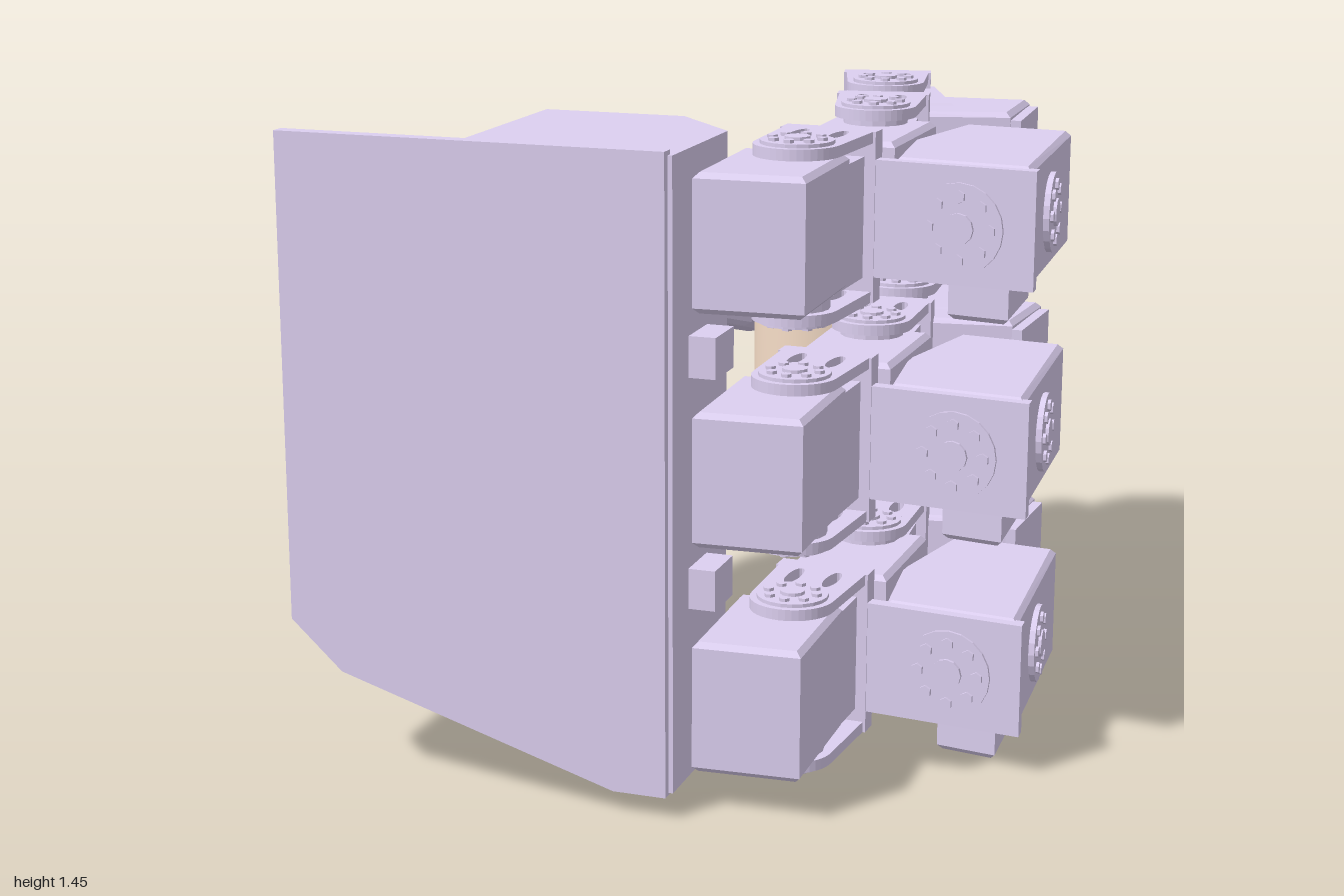
import * as THREE from 'three';
import { RoundedBoxGeometry } from 'three/addons/geometries/RoundedBoxGeometry.js';

const shellMat = new THREE.MeshStandardMaterial({ color: 0xdccff0, flatShading: true });
const bottleMat = new THREE.MeshStandardMaterial({ color: 0xf5dcc6, side: THREE.DoubleSide });

function add(parent, name, geo, x = 0, y = 0, z = 0, mat = shellMat) {
  const m = new THREE.Mesh(geo, mat);
  m.name = name;
  m.position.set(x, y, z);
  parent.add(m);
  return m;
}

function group(parent, name, x = 0, y = 0, z = 0, heading = 0) {
  const g = new THREE.Group();
  g.name = name;
  g.position.set(x, y, z);
  g.rotation.y = heading;
  parent.add(g);
  return g;
}

const box = (w, h, d) => new THREE.BoxGeometry(w, h, d);
const outline = (pts) => new THREE.Shape(pts.map(([x, y]) => new THREE.Vector2(x, y)));

function slot(shape, x, y, rx, ry, angle = 0) {
  shape.holes.push(new THREE.Path().absellipse(x, y, rx, ry, 0, Math.PI * 2, true, angle));
}

// Solid standing on a plan outline of [x, z] points, with optional oval hole
function prism(parent, name, pts, y0, y1, hole, bevel = 0.012) {
  const s = outline(pts.map(([x, z]) => [x, -z]));
  if (hole) slot(s, hole[0], -hole[1], 0.055, 0.028, hole[2]);
  const geo = new THREE.ExtrudeGeometry(s, {
    depth: y1 - y0 - 2 * bevel, curveSegments: 6, bevelEnabled: bevel > 0,
    bevelThickness: bevel, bevelSize: bevel, bevelOffset: -bevel, bevelSegments: 1,
  });
  geo.rotateX(-Math.PI / 2);
  return add(parent, name, geo, 0, y0 + bevel, 0);
}

// Servo horn: disc, hub and a ring of bolts, facing +y
function horn(parent, name, r) {
  const g = group(parent, name);
  add(g, 'hornDisc', new THREE.CylinderGeometry(r, r, 0.03, 20));
  add(g, 'hornHub', new THREE.CylinderGeometry(r * 0.35, r * 0.35, 0.045, 12));
  for (let i = 0; i < 8; i++) {
    const a = (i * Math.PI) / 4;
    add(g, 'bolt', new THREE.CylinderGeometry(r * 0.15, r * 0.15, 0.044, 6),
      Math.cos(a) * r * 0.7, 0, Math.sin(a) * r * 0.7);
  }
  return g;
}

// Slotted fork clasping a motor above and below, closed by a cross plate
function fork(parent, x, z, x1, z1, half = 0.165) {
  const len = Math.hypot(x1 - x, z1 - z);
  const g = group(parent, 'jointFork', x, 0, z, Math.atan2(z - z1, x1 - x));
  const s = new THREE.Shape();
  s.moveTo(len, 0.105);
  s.lineTo(0, 0.095);
  s.absarc(0, 0, 0.095, Math.PI / 2, Math.PI * 1.5, false);
  s.lineTo(len, -0.105);
  slot(s, len * 0.62, 0.045, len * 0.24, 0.016);
  slot(s, len * 0.62, -0.045, len * 0.24, 0.016);
  for (const side of [1, -1]) {
    const geo = new THREE.ExtrudeGeometry(s, { depth: 0.025, bevelEnabled: false, curveSegments: 10 });
    geo.rotateX(-Math.PI / 2);
    add(g, 'forkArm', geo, 0, side > 0 ? half : -half - 0.025, 0);
    const h = horn(g, 'jointHorn', 0.08);
    h.position.y = side * (half + 0.018);
  }
  add(g, 'jointAxle', new THREE.CylinderGeometry(0.075, 0.075, 2 * half, 16));
  add(g, 'forkCore', box(len, 2 * half - 0.06, 0.17), len / 2, 0, 0);
  add(g, 'forkBridge', box(0.05, 2 * half + 0.05, 0.22), len, 0, 0);
}

function fingertip(parent, x, y, z, heading, len, w) {
  const tip = add(parent, 'fingertip', new RoundedBoxGeometry(len, 0.265, w, 2, 0.1), x, y, z);
  tip.rotation.y = heading;
}

// bend swings the outer half inward; drop moves the tip vertically
function finger(parent, y, bend, drop) {
  const g = group(parent, 'finger', 0, y, 0);
  // Base motor and knuckle
  prism(g, 'baseMotor', [[-0.02, 0.95], [-0.22, 0.82], [-0.02, 0.53], [0.17, 0.68]], -0.13, 0.165);
  fork(g, 0.06, 0.66, 0.2, 0.48);
  // Wide second motor with face plate and side horn
  prism(g, 'middleMotor', [[0.53, 0.82], [0.3, 0.61], [0.43, 0.38], [0.64, 0.19], [0.83, 0.36]], -0.13, 0.14);
  prism(g, 'facePlate', [[0.53, 0.845], [0.26, 0.6], [0.28, 0.575], [0.55, 0.815]], -0.125, 0.135, null, 0);
  prism(g, 'lowerEar', [[0.52, 0.74], [0.42, 0.64], [0.55, 0.44], [0.66, 0.53]], -0.22, -0.12, [0.54, 0.6, 1]);
  const front = group(g, 'frontHorn', 0.41, 0, 0.725, -0.735);
  horn(front, 'faceHorn', 0.1).rotation.x = Math.PI / 2;
  const sideHorn = group(g, 'sideHorn', 0.67, 0, 0.6, 1.01);
  horn(sideHorn, 'outerHorn', 0.09).rotation.x = Math.PI / 2;
  // Inner motor linking to the outer half
  prism(g, 'innerMotor', [[0.16, 0.33], [0.35, 0.48], [0.56, 0.2], [0.36, 0.05]], -0.135, 0.15);
  // Outer half swings about the inner motor's joint
  const pivot = group(g, 'outerPivot', 0.42, 0, 0.17, bend);
  const o = group(pivot, 'outerFinger', -0.42, 0, -0.17);
  fork(o, 0.42, 0.17, 0.53, -0.01);
  prism(o, 'outerMotor', [[0.52, -0.02], [0.8, 0.13], [0.96, -0.06], [0.74, -0.23]], -0.13, 0.145);
  prism(o, 'sidePlate', [[0.79, 0.15], [0.95, -0.05], [0.97, -0.035], [0.81, 0.165]], -0.12, 0.13, null, 0);
  prism(o, 'outerEar', [[0.62, 0.02], [0.78, 0.1], [0.88, -0.02], [0.74, -0.12]], -0.205, -0.12, [0.75, 0, 0.9]);
  prism(o, 'tipMount', [[0.52, -0.1], [0.74, -0.03], [0.85, -0.34], [0.62, -0.42]], -0.15, 0.15);
  fork(o, 0.63, -0.2, 0.72, -0.37);
  fingertip(o, 0.832, drop, -0.44, 1.17, 0.44, 0.285);
}

function thumb(parent) {
  const g = group(parent, 'thumb', -0.42, 1.1, -0.17);
  g.rotation.set(0, 0.69, -0.27, 'YZX');
  const H = 0.13;
  prism(g, 'thumbRoot', [[-0.14, -0.11], [-0.14, 0.11], [0.06, 0.11], [0.06, -0.11]], -H, H);
  fork(g, 0, 0, 0.2, 0, H);
  // Two motors, each with a slotted ear on the outside
  for (const s of [0.08, 0.6]) {
    prism(g, 'thumbMotor', [[s, -0.1], [s, 0.15], [s + 0.38, 0.15], [s + 0.38, -0.1]], -H + 0.01, H - 0.01);
    prism(g, 'thumbEar', [[s, -0.21], [s, -0.08], [s + 0.3, -0.08], [s + 0.3, -0.21]], -0.1, 0.1, [s + 0.13, -0.15, 0]);
  }
  fork(g, 0.56, 0, 0.74, 0, H);
  fingertip(g, 1.0, 0, 0.02, 0, 0.45, 0.27);
}

function palm(parent) {
  const g = group(parent, 'palm', -0.99, 0, 0.32, -0.625);
  // Body cut away at the upper corner, tapered toward the inner face
  const body = outline([[0, 0.36], [0.12, 0.25], [0.76, 0.06], [0.89, 0.06], [0.89, 1.44],
    [0.4, 1.44], [0.4, 0.75], [0, 0.75]]);
  const geo = new THREE.ExtrudeGeometry(body, { depth: 0.53, steps: 3, bevelEnabled: false });
  geo.translate(0, 0, -0.53);
  const p = geo.attributes.position;
  for (let i = 0; i < p.count; i++) {
    if (p.getZ(i) < -0.5 && p.getX(i) > 0.7) p.setX(i, 0.73);
  }
  geo.computeVertexNormals();
  add(g, 'palmBody', geo);
  const plate = outline([[0, 0.36], [0.12, 0.25], [0.76, 0.055], [0.88, 0.055], [0.88, 1.45], [0, 1.45]]);
  add(g, 'backPlate', new THREE.ExtrudeGeometry(plate, { depth: 0.035, bevelEnabled: false }), 0, 0, -0.015);
  // Sloping end wall around the thumb pocket
  const wall = new THREE.ExtrudeGeometry(outline([[0, 0.7], [0.53, 0.7], [0.52, 0.78], [0.29, 1.14], [0, 1.2]]),
    { depth: 0.03, bevelEnabled: false });
  wall.rotateY(Math.PI / 2);
  add(g, 'endWall', wall);
  // Tilted thumb motor on its pedestal
  add(g, 'thumbPedestal', box(0.24, 0.42, 0.2), 0.22, 0.94, -0.37);
  const mount = group(g, 'thumbBase', 0.21, 1.24, -0.37);
  mount.rotation.x = -0.27;
  add(mount, 'thumbBaseMotor', new RoundedBoxGeometry(0.34, 0.23, 0.3, 1, 0.02));
  const h = horn(mount, 'thumbBaseHorn', 0.1);
  h.position.z = 0.16;
  h.rotation.x = Math.PI / 2;
  // Small lugs between the finger bases
  for (const y of [0.49, 1.0]) add(g, 'edgeLug', box(0.1, 0.09, 0.12), 0.9, y, -0.16);
}

function bottle(parent) {
  const profile = [[0, 0.18], [0.16, 0.18], [0.185, 0.2], [0.19, 0.24], [0.19, 0.82], [0.178, 0.92],
    [0.15, 1.01], [0.115, 1.07], [0.095, 1.09], [0.095, 1.105], [0.112, 1.11], [0.112, 1.165],
    [0.1, 1.18], [0, 1.18]].map(([r, y]) => new THREE.Vector2(r, y));
  add(parent, 'bottle', new THREE.LatheGeometry(profile, 32), 0.59, 0, -0.64, bottleMat);
}

export function createModel() {
  const model = new THREE.Group();
  model.name = 'robotHandHoldingBottle';
  palm(model);
  finger(model, 0.225, 0, 0.01);
  finger(model, 0.73, 0, -0.02);
  finger(model, 1.235, 0.1, -0.045);
  thumb(model);
  bottle(model);
  return model;
}
